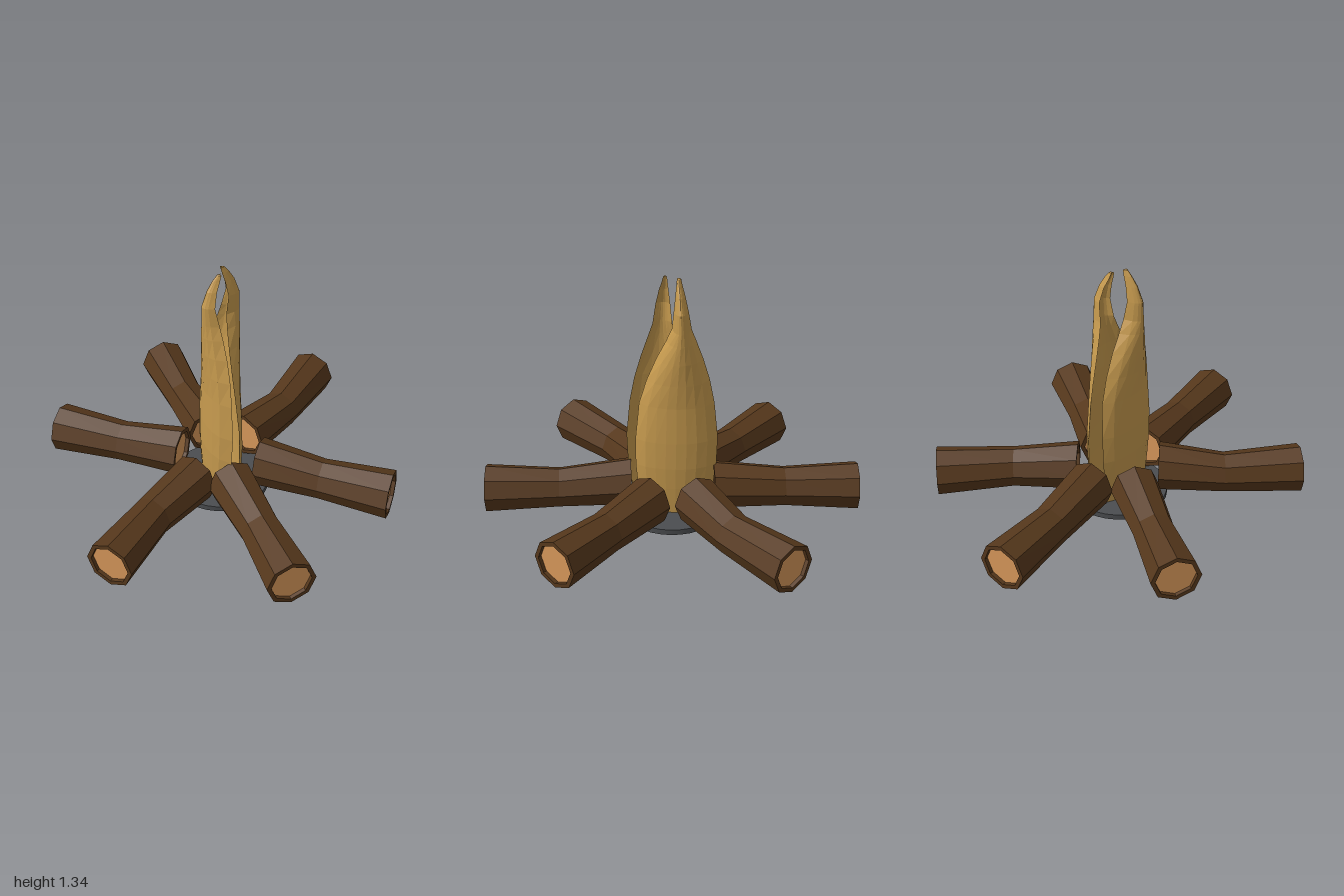
import * as THREE from 'three';

const mat = (color, flat = true) =>
  new THREE.MeshStandardMaterial({ color, flatShading: flat, side: THREE.DoubleSide });
const bark = mat(0x56381c), cutWood = mat(0xd6975a), gold = mat(0xc69a4e), iron = mat(0x4b4d50, false);

// Skin a list of equal-length closed rings of Vector3
function loft(rings) {
  const n = rings[0].length, index = [];
  for (let i = 0; i < rings.length - 1; i++) {
    for (let j = 0; j < n; j++) {
      const k = (j + 1) % n;
      const a = i * n + j, b = i * n + k, c = (i + 1) * n + k, d = (i + 1) * n + j;
      index.push(a, b, c, a, c, d);
    }
  }
  const geo = new THREE.BufferGeometry().setFromPoints(rings.flat());
  geo.setIndex(index);
  geo.computeVertexNormals();
  return geo;
}

function part(name, geo, material) {
  const mesh = new THREE.Mesh(geo, material);
  mesh.name = name;
  return mesh;
}

// Bent eight-sided log with a recessed cut face at each end
function makeLog(name, inner, middle, outer) {
  const group = new THREE.Group();
  group.name = name;
  const [p0, p1, p2] = [[...inner, 0.165], [...middle, 0.14], [...outer, 0.14]]
    .map(([x, z, y]) => new THREE.Vector3(x, y, z));
  const level = (a, b) => b.clone().sub(a).setY(0).normalize();
  const d0 = level(p0, p1), d1 = level(p0, p2), d2 = level(p1, p2);
  const ring = (p, d, r) => Array.from({ length: 8 }, (_, j) => {
    const t = j * Math.PI / 4, s = r * Math.cos(t);
    return new THREE.Vector3(p.x + d.z * s, p.y + r * Math.sin(t), p.z - d.x * s);
  });
  const in0 = p0.clone().addScaledVector(d0, 0.02), in2 = p2.clone().addScaledVector(d2, -0.02);
  group.add(part('bark', loft([
    ring(in0, d0, 0.107), ring(p0, d0, 0.107), ring(p0, d0, 0.13), ring(p1, d1, 0.108),
    ring(p2, d2, 0.13), ring(p2, d2, 0.107), ring(in2, d2, 0.107),
  ]), bark));
  for (const [label, p, d] of [['innerCut', in0, d0.clone().negate()], ['outerCut', in2, d2]]) {
    const cut = part(label, new THREE.CircleGeometry(0.107, 8), cutWood);
    cut.position.copy(p);
    cut.lookAt(p.clone().add(d));
    group.add(cut);
  }
  return group;
}

// Curled leaf of flame, a crescent section at each height
function makeFlame() {
  // y, front z, back z, front edge x, back edge x, outermost x, thickness
  const levels = [
    [0.03, 0.16, -0.20, 0.045, 0.02, 0.09, 0.035],
    [0.18, 0.18, -0.22, 0.045, 0.02, 0.10, 0.035],
    [0.30, 0.19, -0.235, 0.045, 0.015, 0.105, 0.035],
    [0.45, 0.19, -0.24, 0.04, 0.01, 0.105, 0.035],
    [0.65, 0.17, -0.22, 0.025, 0.01, 0.10, 0.035],
    [0.78, 0.13, -0.195, 0.02, 0.01, 0.105, 0.035],
    [0.90, 0.08, -0.16, 0.02, 0.015, 0.112, 0.035],
    [1.00, 0.03, -0.125, 0.025, 0.025, 0.115, 0.035],
    [1.07, 0.00, -0.10, 0.03, 0.035, 0.115, 0.035],
    [1.17, -0.01, -0.085, 0.045, 0.055, 0.113, 0.035],
    [1.25, -0.018, -0.067, 0.03, 0.04, 0.085, 0.03],
    [1.30, -0.022, -0.052, 0.015, 0.02, 0.055, 0.025],
    [1.33, -0.025, -0.045, 0.008, 0.01, 0.03, 0.015],
  ];
  const steps = 8;
  const rings = levels.map(([y, zf, zb, xf, xb, xo, thick]) => {
    const at = (t, inset) => {
      const edge = THREE.MathUtils.lerp(xf, xb, t);
      const bulge = Math.pow(Math.sin(Math.PI * t), 0.6);
      return new THREE.Vector3(edge + (xo - edge - inset) * bulge, y, THREE.MathUtils.lerp(zf, zb, t));
    };
    const outerSide = [], innerSide = [];
    for (let i = 0; i <= steps; i++) outerSide.push(at(i / steps, 0));
    for (let i = steps - 1; i > 0; i--) innerSide.push(at(i / steps, thick));
    return [...outerSide, ...innerSide];
  });
  // Close both ends to a point
  const point = (x, y, z) => rings[0].map(() => new THREE.Vector3(x, y, z));
  return part('flame', loft([point(0.06, 0.03, 0), ...rings, point(0.018, 1.335, -0.035)]), gold);
}

export function createModel() {
  const model = new THREE.Group();
  model.name = 'campfire';

  // Round base plate
  const base = part('base', new THREE.CylinderGeometry(0.265, 0.265, 0.03, 32), iron);
  base.position.y = 0.015;
  model.add(base);

  // Each half holds three logs and one flame; the second is turned half way round
  for (const side of ['left', 'right']) {
    const half = new THREE.Group();
    half.name = side + 'Half';
    half.add(
      makeLog('straightLog', [-0.01, 0.22], [0.025, 0.6], [0.045, 0.99]),
      makeLog('frontDiagonalLog', [0.185, 0.105], [0.465, 0.317], [0.765, 0.545]),
      makeLog('backDiagonalLog', [0.175, -0.13], [0.465, -0.323], [0.765, -0.605]),
      makeFlame(),
    );
    if (side === 'right') half.rotation.y = Math.PI;
    model.add(half);
  }
  return model;
}
